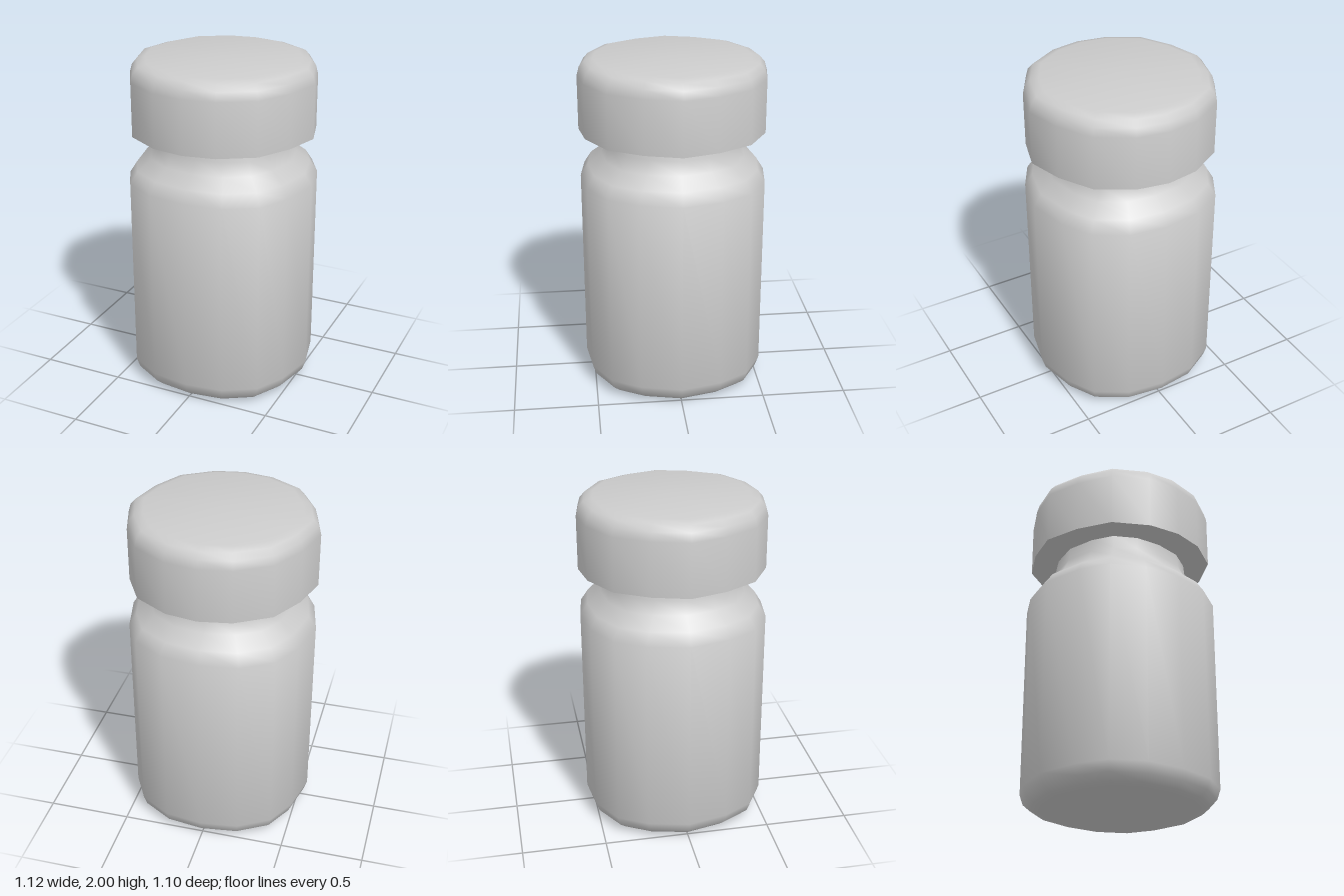
import * as THREE from 'three';
import { toCreasedNormals } from 'three/addons/utils/BufferGeometryUtils.js';

// Corners of one quarter of each 16-sided cross-section, from +x to +z
const BODY_RING = [[0.56, 0], [0.505, 0.24], [0.41, 0.41], [0.225, 0.518], [0, 0.548]];
const CAP_RING = [[0.56, 0], [0.5, 0.21], [0.39, 0.402], [0.19, 0.52], [0, 0.552]];

// Revolve a profile of [scale, y] and fit every ring to the given cross-section
function turned(name, profile, ring, crease, material) {
  const points = profile.map(([s, y]) => new THREE.Vector2(s, y));
  const geometry = new THREE.LatheGeometry(points, 16);
  const pos = geometry.attributes.position;
  for (let i = 0; i < pos.count; i++) {
    const step = Math.floor(i / points.length) % 16;
    const scale = points[i % points.length].x;
    const k = step % 8;
    const [x, z] = ring[k <= 4 ? 4 - k : k - 4];
    const sx = step < 8 ? 1 : -1;
    const sz = step <= 4 || step > 12 ? 1 : -1;
    pos.setXYZ(i, x * scale * sx, pos.getY(i), z * scale * sz);
  }
  const mesh = new THREE.Mesh(toCreasedNormals(geometry, crease), material);
  mesh.name = name;
  return mesh;
}

export function createModel() {
  const group = new THREE.Group();
  group.name = 'jar';
  const material = new THREE.MeshStandardMaterial({ color: 0xcccccc });

  // Jar with rounded base, sloping shoulder and narrow neck
  const body = [
    [0, 0], [0.79, 0], [0.89, 0.012], [0.965, 0.05], [1, 0.11],
    [1, 1.29], [0.92, 1.36], [0.77, 1.425], [0.71, 1.5], [0.695, 1.59],
  ];
  group.add(turned('body', body, BODY_RING, 0.9, material));

  // Lid with flat underside and rounded top edge
  const cap = [
    [0, 1.58], [1, 1.58], [1, 1.9], [0.975, 1.95],
    [0.92, 1.985], [0.83, 2], [0, 2],
  ];
  group.add(turned('lid', cap, CAP_RING, 0.9, material));
  return group;
}
